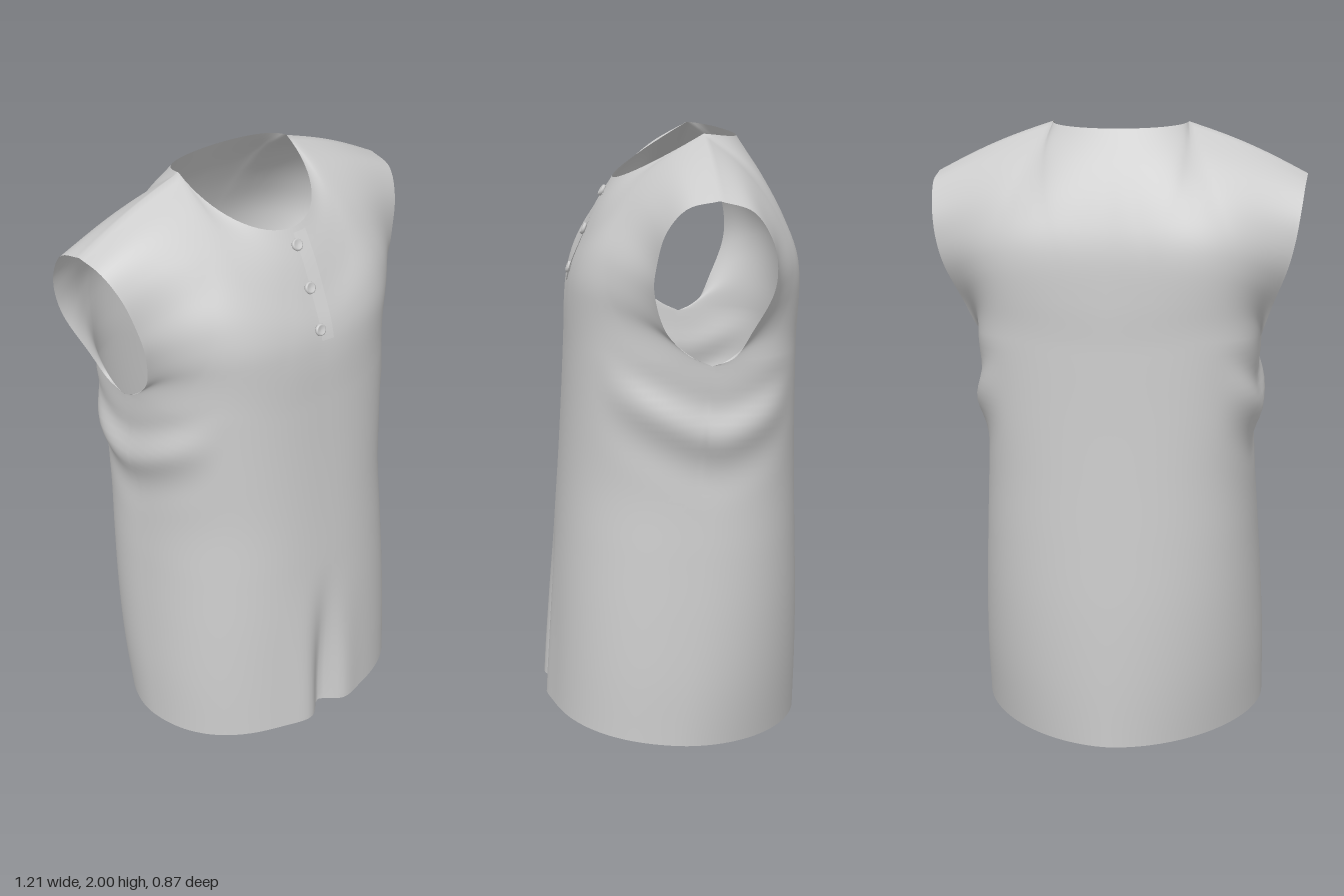
import * as THREE from 'three';
import { mergeVertices } from 'three/addons/utils/BufferGeometryUtils.js';

const { lerp, smoothstep } = THREE.MathUtils;
const V = (x, y, z) => new THREE.Vector3(x, y, z);
const spline = (pts) => new THREE.CatmullRomCurve3(pts.map((p) => V(...p)), false, 'catmullrom', 0.5);
const gauss = (d, w) => Math.exp(-((d / w) ** 2));

const HEM_SEAM_Z = 0.03; // side seam at the hem
const SEAM_Z = -0.08; // side seam at the armpit, and shoulder seam
const CHEST_Y = 1.31; // bottom of the armholes
const NECK_U = 0.4; // share of the top edge taken by the neckline

// Half width, front depth and back depth, evenly spaced from hem to armpit
const body = spline([
  [0.473, 0.43, -0.43], [0.473, 0.419, -0.43], [0.465, 0.408, -0.425], [0.453, 0.394, -0.415],
  [0.442, 0.379, -0.405], [0.451, 0.366, -0.397], [0.46, 0.355, -0.392],
]);

// Centre line and armhole edge of each panel, from armpit level to the top
const panels = {
  front: {
    dir: 1, round: [2.3, 2.6], neckDepth: 0.27, neckDrop: 0.155, neckPower: 1,
    centre: spline([[0, 1.31, 0.355], [0, 1.45, 0.348], [0, 1.55, 0.33], [0, 1.65, 0.29], [0, 1.75, 0.245], [0, 1.845, 0.19]]),
    edge: spline([[0.46, 1.31, -0.08], [0.465, 1.35, 0], [0.48, 1.43, 0.07], [0.51, 1.55, 0.105],
      [0.534, 1.64, 0.1], [0.565, 1.74, 0.075], [0.594, 1.815, 0.015], [0.603, 1.838, -0.08]]),
  },
  back: {
    dir: -1, round: [1.8, 3.2], neckDepth: 0.13, neckDrop: 0.02, neckPower: 0.8,
    centre: spline([[0, 1.31, -0.392], [0, 1.45, -0.392], [0, 1.6, -0.383], [0, 1.72, -0.35], [0, 1.85, -0.29], [0, 1.98, -0.21]]),
    edge: spline([[0.46, 1.31, -0.08], [0.472, 1.34, -0.15], [0.505, 1.43, -0.2], [0.55, 1.54, -0.25],
      [0.575, 1.63, -0.26], [0.59, 1.72, -0.24], [0.6, 1.805, -0.18], [0.603, 1.838, -0.08]]),
  },
};

// Half ring of the torso: u = 0 at the centre, 1 at the side seam; s = 0 at the hem
function torsoPoint(p, u, s) {
  const b = body.getPoint(s);
  const n = lerp(p.round[0], p.round[1], s), seam = lerp(HEM_SEAM_Z, SEAM_Z, s);
  const c = Math.abs(Math.cos(u * Math.PI / 2)), d = Math.sin(u * Math.PI / 2);
  const r = (c ** n + d ** n) ** (-1 / n);
  const z = seam + ((p.dir > 0 ? b.y : b.z) - seam) * r * c;
  return V(b.x * r * d, lerp(0.045 + 0.105 * z, CHEST_Y, s), z);
}

// Top edge: neckline, then shoulder seam
function topPoint(p, u) {
  if (u <= NECK_U) {
    const a = u / NECK_U * Math.PI / 2, c = Math.abs(Math.cos(a));
    return V(0.22 * Math.sin(a), 2 - p.neckDrop * c, SEAM_Z + p.dir * p.neckDepth * c ** p.neckPower);
  }
  const t = (u - NECK_U) / (1 - NECK_U);
  return V(0.22 + 0.383 * t, 2 - 0.162 * t + 0.012 * Math.sin(t * Math.PI), SEAM_Z);
}

// Top edge with its neck corner softened further down the panel
function softTop(p, u, v) {
  const h = Math.min(0.28 * (1 - v), u, 1 - u);
  const sum = V(0, 0, 0);
  for (let k = -3; k <= 3; k++) sum.addScaledVector(topPoint(p, u + k * h / 3), 1 / 7);
  return sum;
}

// Arched blend: rises steeply from the chest and rolls over at the shoulder
function arch(a, b, v) {
  const rise = Math.sin(v * Math.PI / 2), roll = 1 - Math.cos(v * Math.PI / 2);
  return V(lerp(a.x, b.x, v), lerp(a.y, b.y, rise), lerp(a.z, b.z, roll));
}

// Upper panel: chest ring arched to the top edge, fitted to centre line and armhole
function yokePoint(p, u, v) {
  const w = u ** 1.5;
  const ease = lerp(smoothstep(v, -0.08, 0.35), 1, u ** 6); // soft start away from the armhole
  const offset = (curve) => curve.getPoint(v).sub(arch(curve.getPoint(0), curve.getPoint(1), v));
  return arch(torsoPoint(p, u, 1), softTop(p, u, v), v)
    .addScaledVector(offset(p.centre), 1 - w)
    .addScaledVector(offset(p.edge), w * ease);
}

// Cloth folds: swags below the armholes and a crease rising from the front hem
function addFolds(q) {
  const side = smoothstep(Math.abs(q.x), 0.33, 0.45);
  const d = q.y - 0.55 * (Math.hypot(q.z + 0.1, 0.08) - 0.08);
  const swag = 0.022 * gauss(d - 1.08, 0.06) - 0.008 * gauss(d - 0.95, 0.07) - 0.005 * gauss(d - 1.18, 0.04);
  q.x += Math.sign(q.x) * side * swag;
  if (q.z > 0.2) {
    const low = 1 - smoothstep(q.y, 0.1, 0.7);
    q.z += low * (0.014 * gauss(q.x + 0.11, 0.07) + 0.01 * gauss(q.x - 0.07, 0.06) - 0.05 * gauss(q.x + 0.02, 0.045));
  }
  return q;
}

function panelGrid(p, positions, index) {
  const N = 40, LOW = 48, HIGH = 40, cols = 2 * N + 1;
  const base = positions.length / 3;
  for (let j = 0; j <= LOW + HIGH; j++) {
    for (let i = -N; i <= N; i++) {
      const u = Math.abs(i) / N;
      const q = j <= LOW ? torsoPoint(p, u, j / LOW) : yokePoint(p, u, (j - LOW) / HIGH);
      q.x *= Math.sign(i);
      positions.push(...addFolds(q).toArray());
    }
  }
  for (let j = 0; j < LOW + HIGH; j++) {
    for (let i = 0; i < cols - 1; i++) {
      const a = base + j * cols + i, b = a + 1, c = a + cols, d = c + 1;
      if (p.dir > 0) index.push(a, b, d, a, d, c);
      else index.push(a, d, b, a, c, d);
    }
  }
}

export function createModel() {
  const group = new THREE.Group();
  group.name = 'sleevelessShirt';
  const cloth = new THREE.MeshStandardMaterial({ color: 0xcccccc, side: THREE.DoubleSide });

  // Shirt body: front and back welded at the side and shoulder seams
  const positions = [], index = [];
  panelGrid(panels.front, positions, index);
  panelGrid(panels.back, positions, index);
  let geo = new THREE.BufferGeometry();
  geo.setAttribute('position', new THREE.Float32BufferAttribute(positions, 3));
  geo.setIndex(index);
  geo = mergeVertices(geo, 1e-4);
  geo.computeVertexNormals();
  const shirt = new THREE.Mesh(geo, cloth);
  shirt.name = 'shirtBody';
  group.add(shirt);

  // Placket flap: a strip lifting slightly from the chest towards its free edge
  const flapGeo = new THREE.PlaneGeometry(1, 1, 4, 24);
  const pos = flapGeo.attributes.position;
  for (let i = 0; i < pos.count; i++) {
    const across = pos.getX(i) + 0.5, up = pos.getY(i) + 0.5;
    const q = yokePoint(panels.front, 0.055 * across, lerp(0.32, 0.97, up));
    pos.setXYZ(i, q.x, q.y, q.z + 0.001 + 0.007 * across);
  }
  flapGeo.computeVertexNormals();
  const flap = new THREE.Mesh(flapGeo, cloth);
  flap.name = 'placket';
  group.add(flap);

  // Buttons with a raised rim, lying on the slope of the chest
  const buttonGeo = new THREE.LatheGeometry(
    [[0, -0.004], [0.017, -0.004], [0.02, 0.002], [0.018, 0.008], [0.014, 0.009], [0.011, 0.006], [0, 0.005]]
      .map((p) => new THREE.Vector2(...p)), 20);
  for (const t of [0.4, 0.65, 0.9]) {
    const tangent = panels.front.centre.getTangent(t);
    const normal = V(0, -tangent.z, tangent.y).normalize();
    const button = new THREE.Mesh(buttonGeo, cloth);
    button.name = 'button';
    button.position.copy(panels.front.centre.getPoint(t)).addScaledVector(normal, 0.004);
    button.position.x = -0.005;
    button.quaternion.setFromUnitVectors(V(0, 1, 0), normal);
    group.add(button);
  }
  return group;
}
